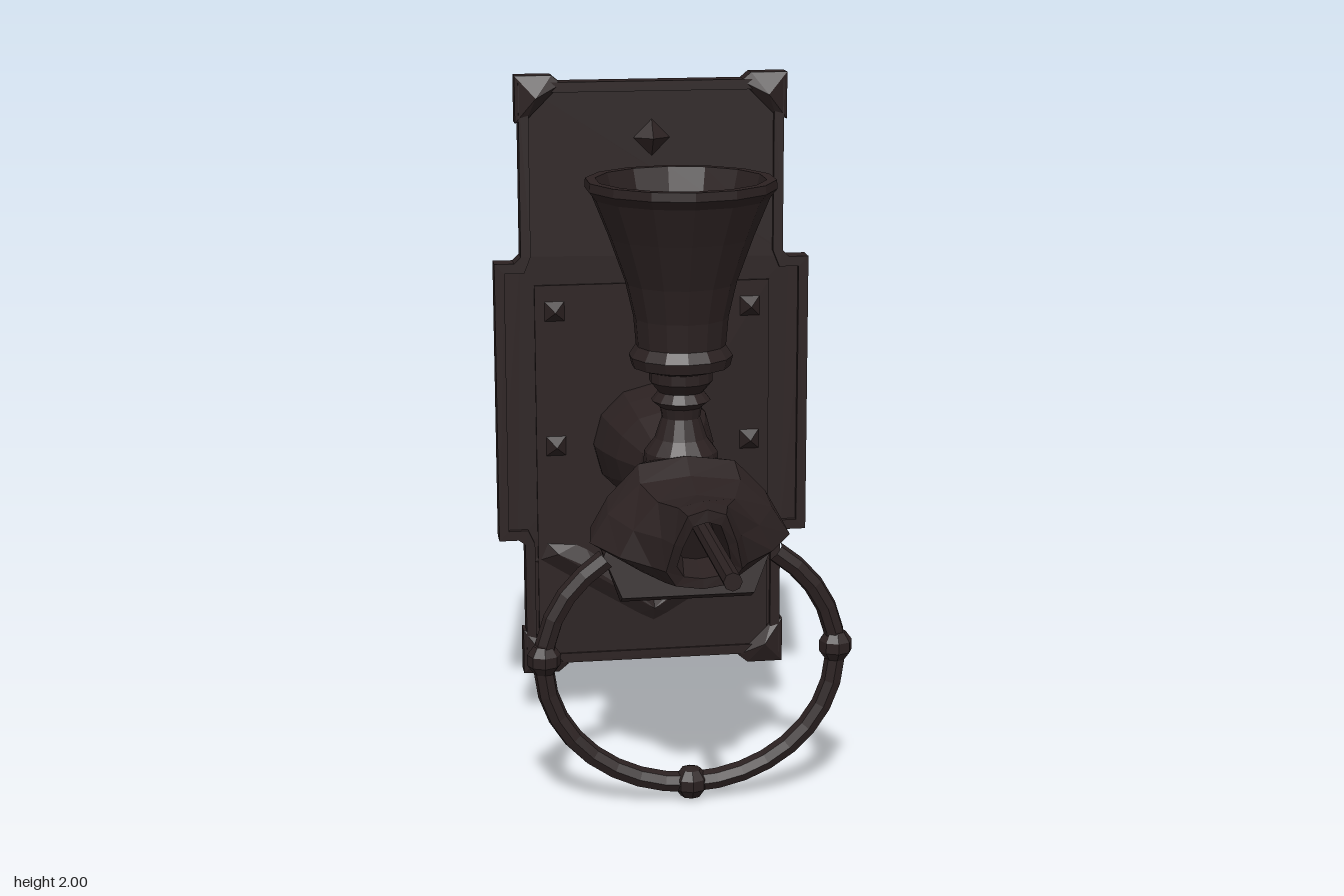
import * as THREE from 'three';
import { ConvexGeometry } from 'three/addons/geometries/ConvexGeometry.js';

export function createModel() {
  const group = new THREE.Group();
  const iron = new THREE.MeshStandardMaterial({ color: 0x2b2121, flatShading: true });
  iron.name = 'dark iron';

  const add = (name, geometry, x = 0, y = 0, z = 0) => {
    const mesh = new THREE.Mesh(geometry, iron);
    mesh.name = name;
    mesh.position.set(x, y, z);
    group.add(mesh);
    return mesh;
  };
  const vecs = (pts) => pts.map(([x, y]) => new THREE.Vector2(x, y));
  const lathe = (pts, sides) => new THREE.LatheGeometry(vecs(pts), sides);
  const extrude = (shape, depth) => new THREE.ExtrudeGeometry(shape, { depth, bevelEnabled: false });

  // Stepped wall plate with a raised rim
  const outline = (inset) => {
    const half = [[0.4, 0.17], [0.4, 0.56], [0.42, 0.575], [0.48, 0.575],
      [0.48, 1.44], [0.42, 1.44], [0.4, 1.46], [0.4, 1.98]];
    const right = half.map(([x, y], i) => [x - inset,
      i === 0 || i === 2 || i === 3 ? y + inset : i === 1 || i === 6 ? y : y - inset]);
    return vecs([...right, ...right.map(([x, y]) => [-x, y]).reverse()]);
  };
  add('wallPlate', extrude(new THREE.Shape(outline(0)), 0.05), 0, 0, -0.75);
  const rim = new THREE.Shape(outline(0));
  rim.holes.push(new THREE.Path(outline(0.03)));
  add('plateRim', extrude(rim, 0.016), 0, 0, -0.7);
  add('raisedPanel', new THREE.BoxGeometry(0.72, 1.17, 0.01), 0, 0.785, -0.696);

  // Faceted corner guards
  for (const sx of [-1, 1]) for (const top of [0, 1]) {
    const base = [[0, 0], [0.11, 0], [0.14, 0.025], [0.035, 0.13], [0, 0.14]];
    const place = ([u, v], z) => new THREE.Vector3(sx * (0.41 - u), top ? 2 - v : 0.14 + v, z);
    add('cornerGuard', new ConvexGeometry([
      ...base.map((p) => place(p, -0.75)), ...base.map((p) => place(p, -0.69)),
      place([0.06, 0.065], -0.662)]));
  }

  // Pyramid studs
  for (const [x, y] of [[-0.3, 1.29], [0.3, 1.29], [-0.3, 0.87], [0.3, 0.87], [0, 1.81]]) {
    const stud = new THREE.ConeGeometry(0.055, 0.04, 4);
    stud.rotateX(Math.PI / 2);
    if (y < 1.5) stud.rotateZ(Math.PI / 4);
    add('plateStud', stud, x, y, -0.68);
  }

  // Pointed ornament on the lower plate
  for (const s of [-1, 1]) {
    const foot = [[0, 0.28], [0.06, 0.31], [0.37, 0.5], [0.34, 0.57], [0.22, 0.56], [0, 0.38]];
    const ridge = [[0, 0.34], [0.18, 0.47], [0.3, 0.53]];
    const v = (p, z) => new THREE.Vector3(s * p[0], p[1], z);
    add('chevron', new ConvexGeometry([
      ...foot.map((p) => v(p, -0.7)), ...ridge.map((p) => v(p, -0.667))]));
  }

  // Flared wall socket and arm
  const arm = lathe([[0.185, -0.7], [0.185, -0.67], [0.17, -0.6], [0.14, -0.5], [0.1, -0.42],
    [0.085, -0.39], [0.08, -0.25], [0.09, -0.05]], 12);
  arm.rotateX(Math.PI / 2);
  add('wallArm', arm, 0, 0.872, 0);

  // Hollow cup on a turned stem
  add('cup', lathe([[0.11, 0.93], [0.105, 0.99], [0.075, 1.03], [0.055, 1.09], [0.06, 1.12],
    [0.085, 1.14], [0.065, 1.165], [0.09, 1.195], [0.09, 1.225], [0.14, 1.24], [0.148, 1.27],
    [0.128, 1.3], [0.135, 1.38], [0.158, 1.48], [0.205, 1.61], [0.25, 1.72], [0.27, 1.745],
    [0.268, 1.77], [0.24, 1.77], [0.22, 1.7], [0.17, 1.56], [0.11, 1.42], [0, 1.38]], 14),
  0, 0, -0.125);

  // Spout head: cross-sections [z, top, bottom, half width], back to front, then into the mouth
  const sections = [[-0.25, 0.95, 0.79, 0.08], [-0.12, 0.98, 0.76, 0.19], [-0.02, 1.0, 0.74, 0.275],
    [0.05, 0.96, 0.72, 0.285], [0.16, 0.935, 0.71, 0.215], [0.25, 0.95, 0.69, 0.135],
    [0.32, 0.945, 0.7, 0.105], [0.32, 0.91, 0.73, 0.075], [0.2, 0.89, 0.75, 0.055]];
  const side = [[0, 0], [0.72, 0.05], [1, 0.24], [0.82, 0.58], [0.5, 0.93], [0, 1]];
  const loop = [...side, ...side.slice(1, -1).reverse().map(([u, v]) => [-u, v])];
  const n = loop.length;
  const positions = [], index = [];
  sections.forEach(([z, top, bottom, w], k) => {
    const lean = k > 4 ? 0.07 : 0;
    for (const [u, v] of loop) positions.push(u * w, bottom + v * (top - bottom), z + lean * (v - 0.6));
    if (k) for (let i = 0; i < n; i++) {
      const a = (k - 1) * n + i, b = (k - 1) * n + (i + 1) % n;
      index.push(a, b, b + n, a, b + n, a + n);
    }
  });
  const last = (sections.length - 1) * n;
  for (let i = 1; i < n - 1; i++) index.push(last, last + i, last + i + 1, 0, i + 1, i);
  const head = new THREE.BufferGeometry();
  head.setAttribute('position', new THREE.Float32BufferAttribute(positions, 3));
  head.setIndex(index);
  head.computeVertexNormals();
  add('spoutHead', head);

  // Sloping collar under the back of the head
  const collar = [[0.02, 0.6, 0.19], [-0.03, 0.575, 0.19], [-0.27, 0.7, 0.23], [-0.26, 0.745, 0.23],
    [-0.04, 0.95, 0.14], [0.0, 0.72, 0.24]];
  add('collar', new ConvexGeometry(collar.flatMap(([z, y, w]) =>
    [new THREE.Vector3(w, y, z), new THREE.Vector3(-w, y, z)])));

  // Rod through the mouth
  const rod = new THREE.CylinderGeometry(0.025, 0.025, 0.57, 8);
  rod.rotateX(Math.PI / 2);
  add('rod', rod, 0, 0.867, 0.465);

  // Hanging ring with three knuckles
  const ringPoint = (deg) => {
    const a = THREE.MathUtils.degToRad(deg);
    return new THREE.Vector3(0.42 * Math.cos(a), 0.425 + 0.375 * Math.sin(a), 0.06);
  };
  const path = [];
  for (let d = -235; d <= 55; d += 14.5) path.push(ringPoint(d));
  add('hangingRing', new THREE.TubeGeometry(new THREE.CatmullRomCurve3(path), 26, 0.03, 7));
  for (const d of [-183, -90, 3]) {
    const knuckle = new THREE.SphereGeometry(0.05, 8, 5);
    const p = ringPoint(d);
    add('ringKnuckle', knuckle, p.x, p.y, p.z);
  }

  return group;
}
